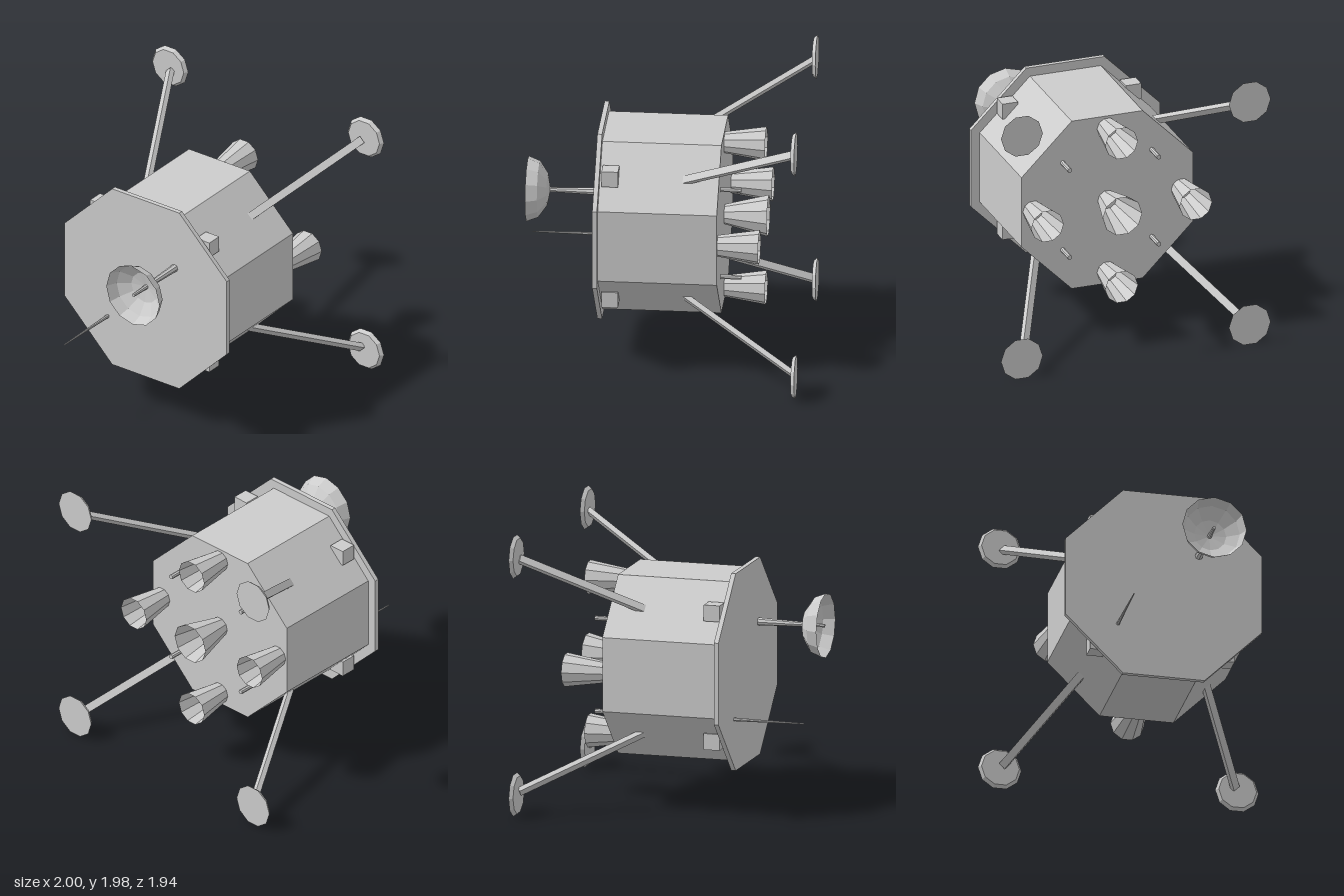
import * as THREE from 'three';

export function createModel() {
  const model = new THREE.Group();
  model.name = 'lander';
  // Double-sided because the bells and the dish are open shells
  const grey = new THREE.MeshStandardMaterial({ color: 0xcccccc, flatShading: true, side: THREE.DoubleSide });
  grey.name = 'hull grey';

  const add = (name, geometry, x = 0, y = 1, z = 0) => {
    const mesh = new THREE.Mesh(geometry, grey);
    mesh.name = name;
    mesh.position.set(x, y, z);
    model.add(mesh);
    return mesh;
  };
  // Faceted cylinder lying along z, from zBack to zFront
  const rod = (name, rFront, rBack, zBack, zFront, sides, x = 0, y = 1, start = Math.PI / 2, open = false) => {
    const g = new THREE.CylinderGeometry(rFront, rBack, zFront - zBack, sides, 1, open, start);
    g.rotateX(Math.PI / 2);
    return add(name, g, x, y, (zFront + zBack) / 2);
  };

  // Octagonal body and front plate
  const octagon = 1 / Math.cos(Math.PI / 8);
  rod('body', 0.635 * octagon, 0.635 * octagon, -0.4, 0.43, 8, 0, 1, Math.PI / 8);
  rod('frontPlate', 0.7 * octagon, 0.7 * octagon, 0.43, 0.463, 8, 0, 1, Math.PI / 8);

  // Engine bells: a large one in the middle, four around it
  rod('mainEngine', 0.07, 0.146, -0.705, -0.4, 10, 0, 1, Math.PI / 2, true);
  for (const [x, y] of [[0.55, 0], [-0.55, 0], [0, 0.545], [0, -0.545]]) {
    rod('outerEngine', 0.075, 0.12, -0.69, -0.4, 10, x, 1 + y, Math.PI / 2, true);
  }

  // Parts repeated on the four diagonals
  for (const sx of [1, -1]) {
    for (const sy of [1, -1]) {
      add('sensorBox', new THREE.BoxGeometry(0.115, 0.115, 0.115), sx * 0.457, 1 + sy * 0.457, 0.357);
      rod('thruster', 0.017, 0.017, -0.545, -0.4, 8, sx * 0.33, 1 + sy * 0.33);

      // Leg strut, with its broad side facing outward
      const a = new THREE.Vector3(sx * 0.43, 1 + sy * 0.43, -0.14);
      const b = new THREE.Vector3(sx * 0.827, 1 + sy * 0.827, -0.945);
      const leg = add('leg', new THREE.BoxGeometry(0.055, 0.036, a.distanceTo(b)));
      leg.position.lerpVectors(a, b, 0.5);
      leg.up.set(sx, sy, 0);
      leg.lookAt(b);

      // Foot pad, wider at the back
      rod('foot', 0.135, 0.155, -0.97, -0.944, 10, sx * 0.845, 1 + sy * 0.845);
    }
  }

  // Dish: a shallow faceted bowl opening forward
  const profile = [];
  for (let i = 0; i <= 3; i++) {
    const t = (i / 3) * Math.PI / 2;
    profile.push(new THREE.Vector2(0.229 * Math.sin(t), 0.16 * (1 - Math.cos(t))));
  }
  const dish = new THREE.LatheGeometry(profile, 12);
  dish.rotateX(Math.PI / 2);
  add('dish', dish, 0.25, 1.25, 0.792);

  // Tapered dish mast and whip antenna
  rod('dishMast', 0.012, 0.028, 0.46, 0.945, 8, 0.25, 1.25);
  rod('antenna', 0.004, 0.013, 0.46, 0.97, 8, -0.327, 0.673);

  return model;
}
